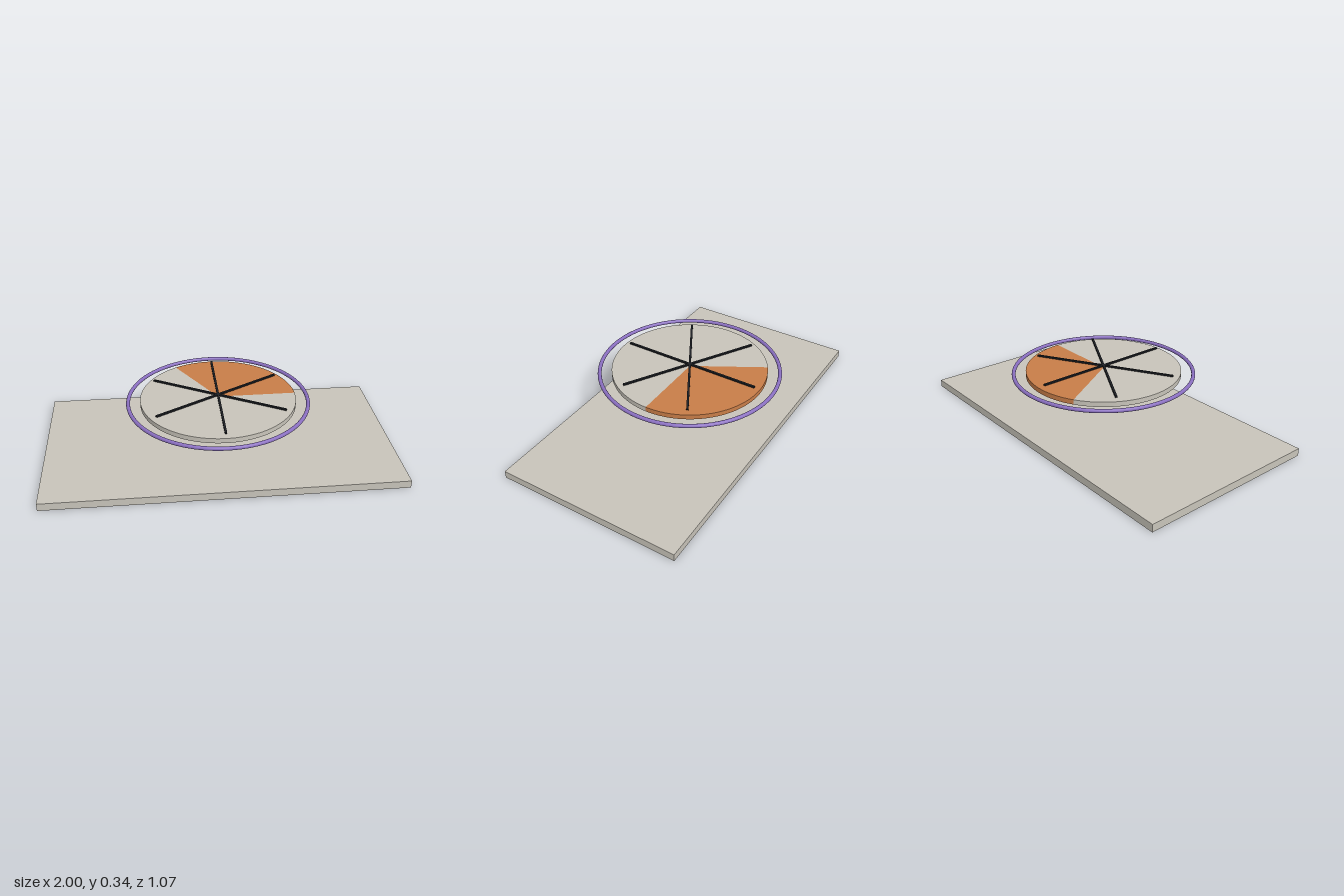
import * as THREE from 'three';

const flat = (name, color) => {
  const m = new THREE.MeshStandardMaterial({ color });
  m.name = name;
  return m;
};

export function createModel() {
  const group = new THREE.Group();
  const stone = flat('warm grey', 0xc8c4ba);
  const orange = flat('orange', 0xc87d48);
  const purple = flat('purple', 0x8a6fc0);
  const black = flat('near black', 0x1c1f24);

  const add = (name, geometry, material, y) => {
    const mesh = new THREE.Mesh(geometry, material);
    mesh.name = name;
    mesh.position.y = y;
    group.add(mesh);
    return mesh;
  };

  // Flat base slab
  add('baseSlab', new THREE.BoxGeometry(2, 0.044, 1.066), stone, 0.022);

  // Disc made of two sectors that meet flush (angles run from +x towards the back)
  const sector = (start, end) => {
    const shape = new THREE.Shape();
    shape.moveTo(0, 0);
    shape.absarc(0, 0, 0.443, start, end, false);
    shape.lineTo(0, 0);
    const segments = Math.round((end - start) / (Math.PI * 2) * 96);
    return new THREE.ExtrudeGeometry(shape, { depth: 0.028, bevelEnabled: false, curveSegments: segments })
      .rotateX(-Math.PI / 2);
  };
  const split = Math.PI * 2 / 3;
  add('discHighlightSector', sector(0, split), orange, 0.297);
  add('discMainSector', sector(split, Math.PI * 2), stone, 0.297);

  // Ring around the disc
  add('outerRing', new THREE.TorusGeometry(0.512, 0.011, 16, 96).rotateX(Math.PI / 2), purple, 0.309);

  // Three crossing bars form six spokes
  for (let i = 0; i < 3; i++) {
    const bar = add('spokeBar' + (i + 1), new THREE.BoxGeometry(0.826, 0.009, 0.012), black, 0.338);
    bar.rotation.y = Math.PI / 6 + i * Math.PI / 3;
  }

  return group;
}
